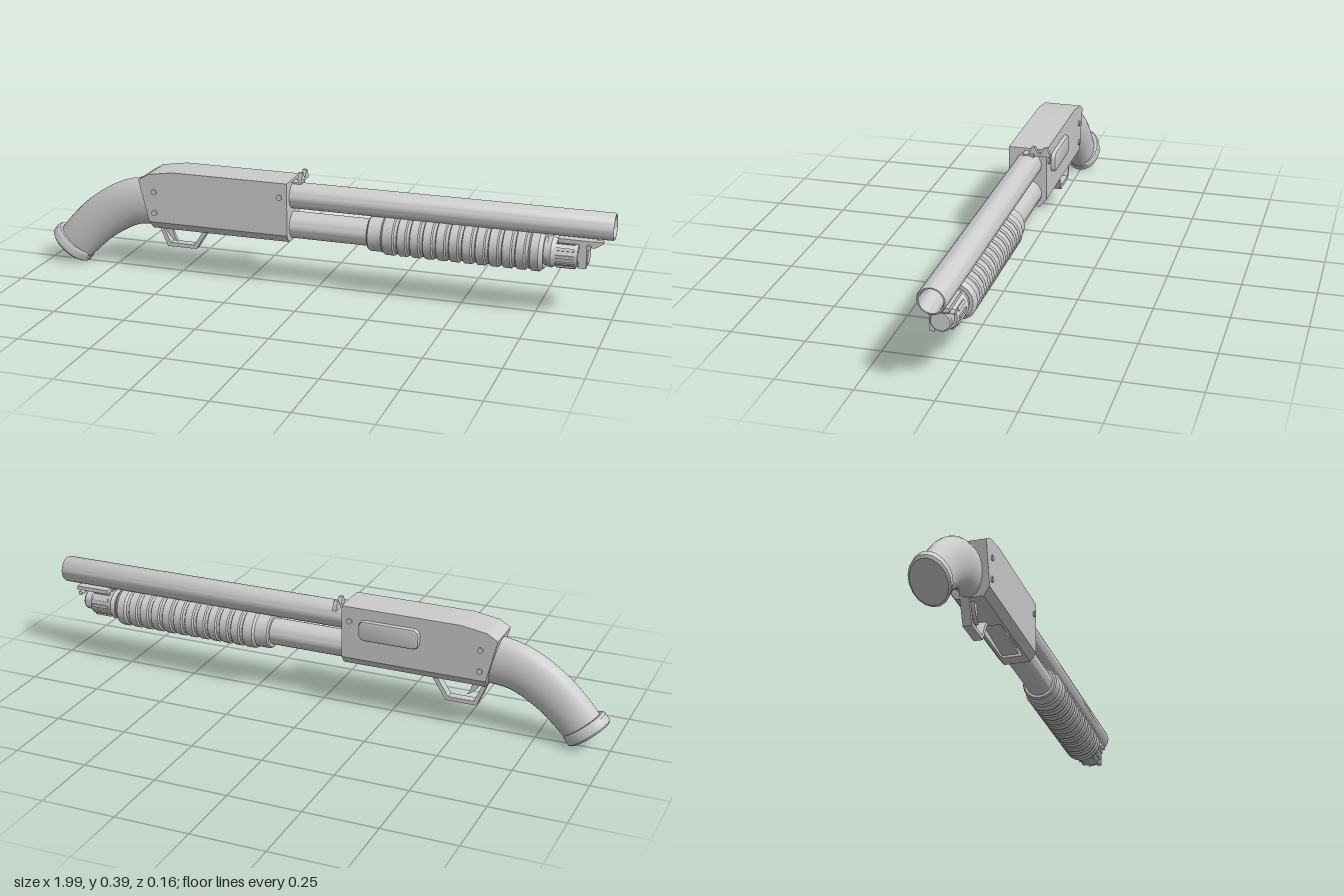
import * as THREE from 'three';
import { toCreasedNormals } from 'three/addons/utils/BufferGeometryUtils.js';

const CZ = 0.005; // centre plane of barrel, tube and grip

export function createModel() {
  const model = new THREE.Group();
  const mat = new THREE.MeshStandardMaterial({ color: 0xcccccc });

  const add = (name, geo, x = 0, y = 0, z = 0, crease = 0.6) => {
    const mesh = new THREE.Mesh(toCreasedNormals(geo, crease), mat);
    mesh.name = name;
    mesh.position.set(x, y, z);
    model.add(mesh);
    return mesh;
  };
  const box = (name, x0, x1, y0, y1, z0, z1) =>
    add(name, new THREE.BoxGeometry(x1 - x0, y1 - y0, z1 - z0), (x0 + x1) / 2, (y0 + y1) / 2, (z0 + z1) / 2);
  const poly = (pts) => new THREE.Shape(pts.map(([a, b]) => new THREE.Vector2(a, b)));
  // Turned part along x; profile pairs are [x, radius]
  const turned = (name, profile, y, segs = 28) => {
    const geo = new THREE.LatheGeometry(profile.map(([x, r]) => new THREE.Vector2(r, x)), segs);
    return add(name, geo.rotateZ(-Math.PI / 2), 0, y, CZ);
  };
  // Cross-section in (-z, y) extruded along x
  const alongX = (shape, x0, x1, steps = 1) =>
    new THREE.ExtrudeGeometry(shape, { depth: x1 - x0, steps, bevelEnabled: false })
      .rotateY(Math.PI / 2).translate(x0, 0, 0);

  // Receiver: chamfered underside, loading port in the middle section
  const W = 0.066, TOP = 0.388, RZ = 0.008;
  const solid = poly([[-0.045, 0.178], [0.045, 0.178], [W, 0.205], [W, TOP], [-W, TOP], [-W, 0.205]]);
  const notched = poly([[-0.045, 0.178], [-0.036, 0.178], [-0.036, 0.21], [0.036, 0.21], [0.036, 0.178],
    [0.045, 0.178], [W, 0.205], [W, TOP], [-W, TOP], [-W, 0.205]]);
  const rear = alongX(solid, 0, 3, 3);
  const stations = [-0.628, -0.59, -0.5, -0.38], tops = [0.352, 0.374, TOP, TOP];
  const p = rear.attributes.position;
  for (let i = 0; i < p.count; i++) {
    const s = Math.round(p.getX(i)), y = Math.min(p.getY(i), tops[s]);
    const slant = s < 2 ? Math.max(0, 0.355 - y) * 0.25 : 0;
    p.setXYZ(i, stations[s] + slant, y, p.getZ(i));
  }
  add('receiverRear', rear, 0, 0, RZ, 0.3);
  add('receiverMiddle', alongX(notched, -0.38, -0.14), 0, 0, RZ, 0.3);
  add('receiverFront', alongX(solid, -0.14, -0.088), 0, 0, RZ, 0.3);
  box('shellLifter', -0.36, -0.165, 0.182, 0.19, -0.02, 0.036).rotation.z = -0.09;

  // Ejection port cover on the far side
  const port = new THREE.Shape();
  const [px, py, pr] = [0.098, 0.027, 0.016];
  port.moveTo(-px + pr, -py);
  port.lineTo(px - pr, -py);
  port.quadraticCurveTo(px, -py, px, -py + pr);
  port.lineTo(px, py - pr);
  port.quadraticCurveTo(px, py, px - pr, py);
  port.lineTo(-px + pr, py);
  port.quadraticCurveTo(-px, py, -px, py - pr);
  port.lineTo(-px, -py + pr);
  port.quadraticCurveTo(-px, -py, -px + pr, -py);
  add('ejectionPort', new THREE.ExtrudeGeometry(port, {
    depth: 0.016, bevelThickness: 0.006, bevelSize: 0.008, bevelSegments: 2,
  }), -0.257, 0.315, -0.067);

  // Screws on both sides
  for (const [x, y] of [[-0.57, 0.313], [-0.57, 0.238], [-0.115, 0.338]]) {
    add('screwPin', new THREE.CylinderGeometry(0.01, 0.01, 0.142, 12).rotateX(Math.PI / 2), x, y, RZ);
  }

  // Barrel with open bore
  turned('barrel', [[0.6, 0], [0.6, 0.035], [0.99, 0.035], [0.997, 0.038], [0.997, 0.042], [0.992, 0.045],
    [-0.1, 0.045], [-0.1, 0]].reverse(), 0.33);

  // Magazine tube and its end cap
  turned('magazineTube', [[-0.1, 0], [-0.1, 0.046], [0.8, 0.046], [0.8, 0]], 0.226);
  turned('magazineCap', [[0.785, 0], [0.785, 0.05], [0.80, 0.052], [0.81, 0.046], [0.875, 0.046], [0.885, 0.042],
    [0.885, 0.034], [0.912, 0.034], [0.917, 0.03], [0.917, 0]], 0.226);
  for (let i = 0; i < 12; i++) {
    const a = (i / 12) * Math.PI * 2;
    const rib = add('capRib', new THREE.BoxGeometry(0.06, 0.008, 0.01),
      0.845, 0.226 + Math.cos(a) * 0.046, CZ + Math.sin(a) * 0.046);
    rib.rotation.x = a;
  }

  // Ribbed sliding fore-end
  const slide = [[0.185, 0.04], [0.185, 0.056], [0.19, 0.061], [0.235, 0.061], [0.242, 0.068]];
  const ribs = 11, pitch = 0.044;
  for (let i = 0; i < ribs; i++) {
    const x = 0.25 + i * pitch;
    slide.push([x, 0.069], [x + 0.026, 0.069], [x + 0.03, 0.063], [x + 0.04, 0.063]);
  }
  slide.push([0.737, 0.069], [0.763, 0.069], [0.776, 0.058], [0.776, 0.04]);
  turned('foreEnd', slide, 0.226, 16);

  // Sling bracket at the muzzle end
  box('slingPlate', 0.82, 0.94, 0.27, 0.284, -0.03, 0.04);
  const tab = poly([[0.91, 0.284], [0.91, 0.262], [0.94, 0.262], [0.965, 0.278], [0.965, 0.284]]);
  add('slingTab', new THREE.ExtrudeGeometry(tab, { depth: 0.022, bevelEnabled: false }), 0, 0, 0.016);
  box('slingSidePlate', 0.888, 0.914, 0.19, 0.28, 0.024, 0.04);
  add('slingPin', new THREE.CylinderGeometry(0.008, 0.008, 0.095, 12).rotateX(Math.PI / 2), 0.92, 0.265, 0.004);

  // Notched rear sight, offset to the far side
  const sight = poly([[0.002, 0.372], [0.077, 0.372], [0.077, 0.378], [0.065, 0.404], [0.053, 0.404],
    [0.043, 0.381], [0.035, 0.381], [0.023, 0.404], [0.012, 0.404], [0.002, 0.38]]);
  add('rearSight', alongX(sight, -0.076, -0.062));
  box('sightBase', -0.09, -0.055, 0.36, 0.379, -0.02, 0.018);

  // Curved pistol grip: oval sections swept along a curve
  const curve = new THREE.CatmullRomCurve3([[-0.575, 0.266], [-0.685, 0.246], [-0.79, 0.187], [-0.86, 0.125],
    [-0.915, 0.065]].map(([x, y]) => new THREE.Vector3(x, y, CZ)));
  const grip = new THREE.CylinderGeometry(1, 1, 1, 24, 16, true);
  const g = grip.attributes.position;
  for (let i = 0; i < g.count; i++) {
    const t = Math.min(1, Math.max(0, g.getY(i) + 0.5));
    const c = curve.getPoint(t), d = curve.getTangent(t);
    const h = g.getX(i) * (0.086 - 0.014 * t);
    g.setXYZ(i, c.x + d.y * h, c.y - d.x * h, c.z + g.getZ(i) * 0.049);
  }
  add('grip', grip);

  // Flared oval butt cap
  const cap = new THREE.LatheGeometry([[0, -0.021], [0.9, -0.021], [1, -0.014], [1, 0.012], [0.92, 0.021], [0, 0.021]]
    .map(([r, y]) => new THREE.Vector2(r, y)), 18).scale(0.083, 1, 0.063);
  add('buttCap', cap, -0.917, 0.074, 0.003).rotation.z = -0.69;

  // Trigger guard loop and trigger
  const guard = poly([[-0.592, 0.19], [-0.553, 0.098], [-0.446, 0.098], [-0.39, 0.185], [-0.39, 0.19]]);
  guard.holes.push(new THREE.Path([[-0.572, 0.178], [-0.543, 0.112], [-0.454, 0.112], [-0.412, 0.178]]
    .map(([x, y]) => new THREE.Vector2(x, y))));
  add('triggerGuard', new THREE.ExtrudeGeometry(guard, { depth: 0.03, bevelEnabled: false }), 0, 0, -0.024);
  const trigger = new THREE.Shape();
  trigger.moveTo(-0.56, 0.185);
  trigger.quadraticCurveTo(-0.55, 0.135, -0.51, 0.12);
  trigger.quadraticCurveTo(-0.53, 0.145, -0.53, 0.185);
  add('trigger', new THREE.ExtrudeGeometry(trigger, { depth: 0.012, bevelEnabled: false }), 0, 0, 0.002);

  return model;
}
